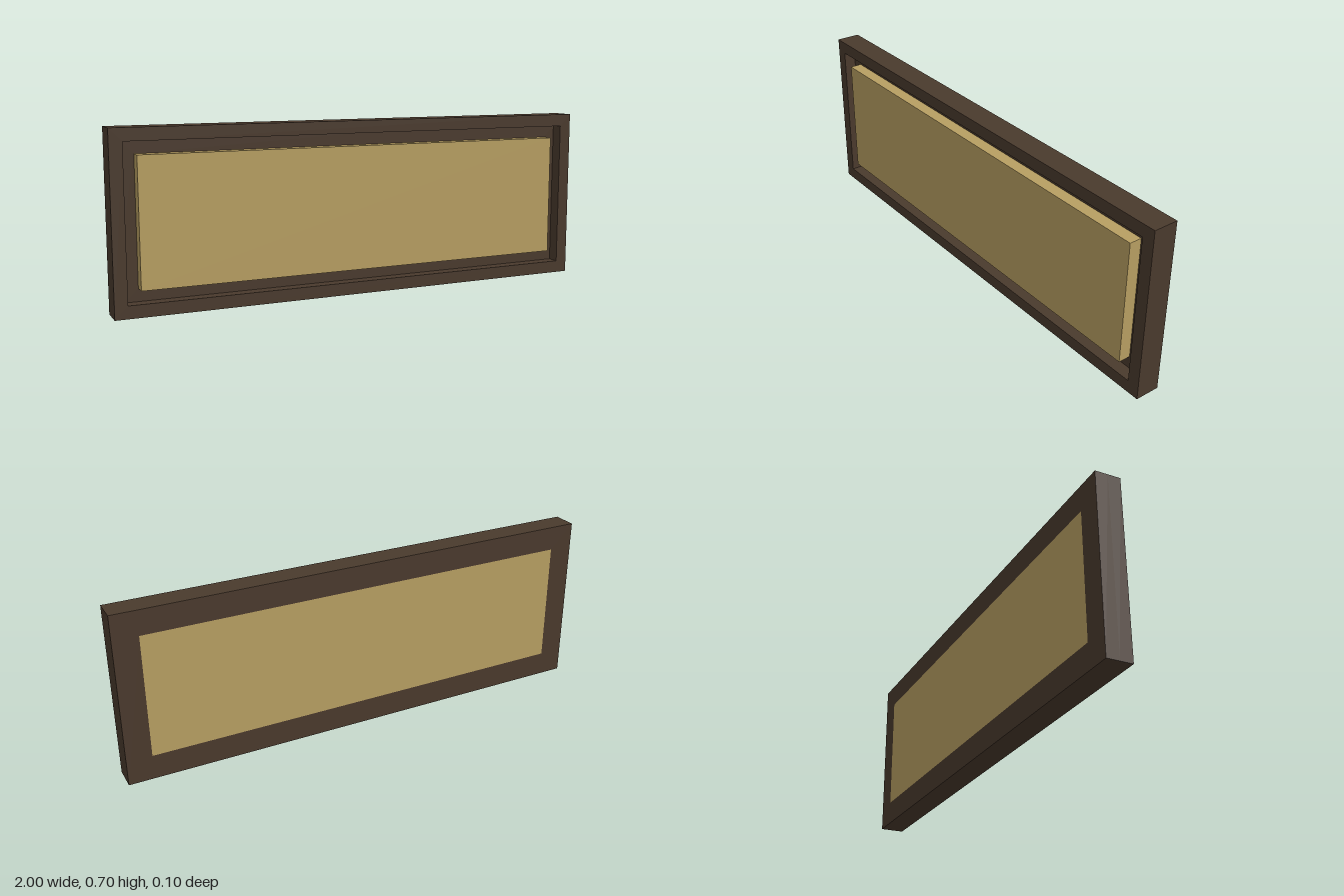
import * as THREE from 'three';

// Centred rectangle outline, usable as a shape or a hole
function rect(target, w, h) {
  target.moveTo(-w / 2, -h / 2);
  target.lineTo(w / 2, -h / 2);
  target.lineTo(w / 2, h / 2);
  target.lineTo(-w / 2, h / 2);
  target.closePath();
  return target;
}

export function createModel() {
  const W = 2, H = 0.7, D = 0.1, RECESS = 0.05;
  const wood = new THREE.MeshStandardMaterial({ color: 0x4a3a2d });
  wood.name = 'darkWood';
  const tan = new THREE.MeshStandardMaterial({ color: 0xb89f62 });
  tan.name = 'tanPanel';

  const group = new THREE.Group();
  group.name = 'framedPanel';

  function addRing(name, holeW, holeH, z, depth) {
    const shape = rect(new THREE.Shape(), W, H);
    shape.holes.push(rect(new THREE.Path(), holeW, holeH));
    const geo = new THREE.ExtrudeGeometry(shape, { depth, bevelEnabled: false });
    const mesh = new THREE.Mesh(geo, wood);
    mesh.name = name;
    mesh.position.set(0, H / 2, z);
    group.add(mesh);
  }

  // Raised front rim, leaving a groove around the panel
  addRing('frontRim', W - 0.1, H - 0.1, D / 2 - RECESS, RECESS);
  // Wider rear frame that holds the panel and forms the groove floor
  addRing('rearFrame', W - 0.2, H - 0.2, -D / 2, D - RECESS);

  // Panel flush with the frame at front and back
  const panel = new THREE.Mesh(new THREE.BoxGeometry(W - 0.2, H - 0.2, D), tan);
  panel.name = 'panel';
  panel.position.y = H / 2;
  group.add(panel);

  return group;
}
